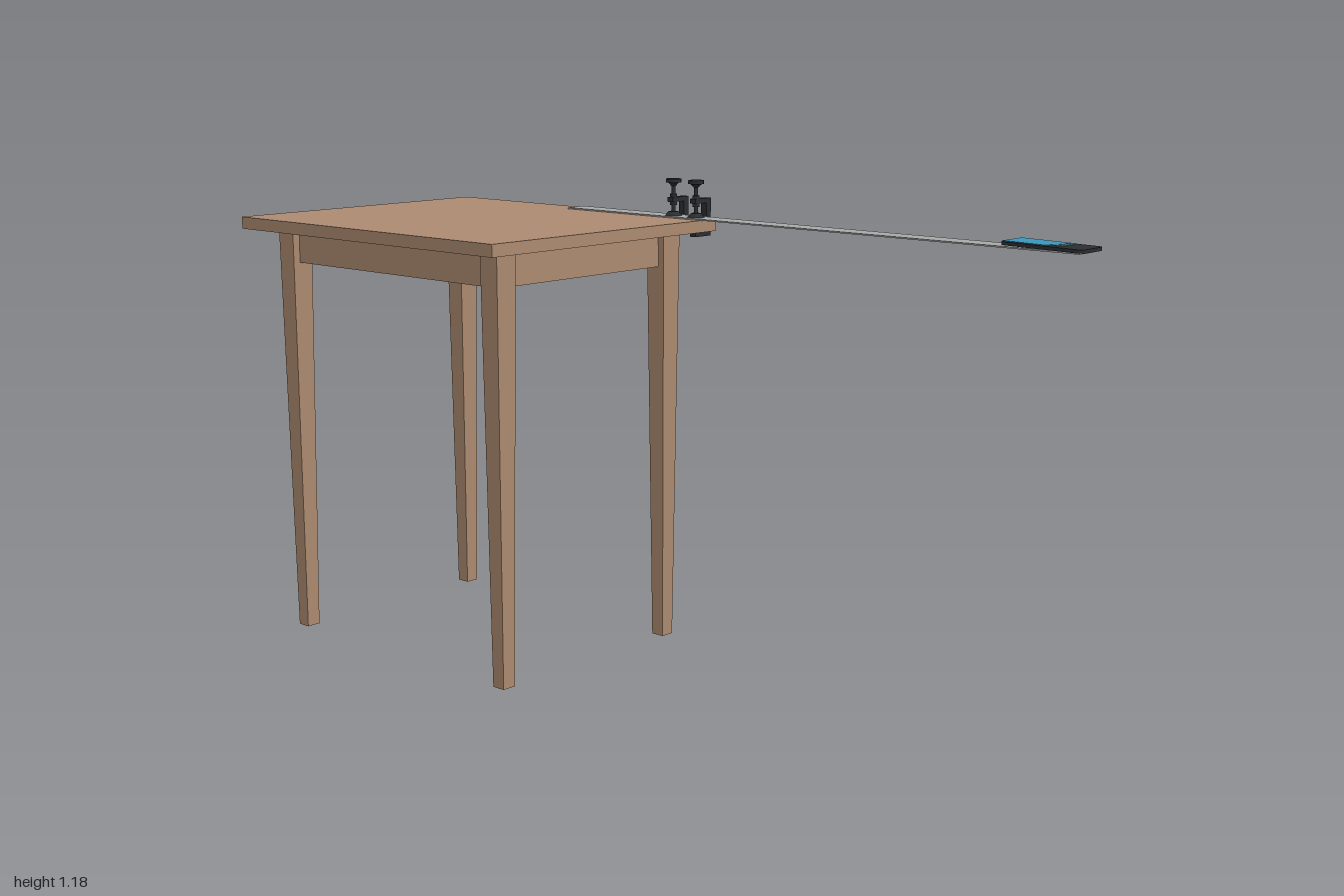
import * as THREE from 'three';

const mat = (name, color) => {
  const m = new THREE.MeshStandardMaterial({ color });
  m.name = name;
  return m;
};

export function createModel() {
  const wood = mat('wood', 0xac8a70);
  const steel = mat('steel', 0xa9a9a9);
  const black = mat('blackMetal', 0x2b2d30);
  const blue = mat('screenBlue', 0x3a96ba);
  const pale = mat('screenPale', 0xc4d0d4);

  const model = new THREE.Group();
  const add = (parent, name, geo, material, x = 0, y = 0, z = 0) => {
    const mesh = new THREE.Mesh(geo, material);
    mesh.name = name;
    mesh.position.set(x, y, z);
    parent.add(mesh);
    return mesh;
  };
  // Box from its minimum and maximum corners
  const box = (parent, name, material, [x0, x1], [y0, y1], [z0, z1]) =>
    add(parent, name, new THREE.BoxGeometry(x1 - x0, y1 - y0, z1 - z0), material,
      (x0 + x1) / 2, (y0 + y1) / 2, (z0 + z1) / 2);

  // Table
  const table = new THREE.Group();
  table.name = 'table';
  model.add(table);
  box(table, 'tableTop', wood, [-1, -0.08], [1.05, 1.08], [-0.375, 0.395]);

  // Tapered legs, with a corner brace inside each
  const cx = -0.54, cz = 0.01;
  for (const sx of [-1, 1]) for (const sz of [-1, 1]) {
    const geo = new THREE.BoxGeometry(0.056, 1.05, 0.06);
    const p = geo.attributes.position;
    for (let i = 0; i < p.count; i++) {
      if (p.getY(i) < 0) p.setXYZ(i, p.getX(i) * 0.64, p.getY(i), p.getZ(i) * 0.62);
    }
    geo.computeVertexNormals();
    add(table, 'leg', geo, wood, cx + sx * 0.373, 0.525, cz + sz * 0.285);

    const brace = new THREE.Group();
    brace.name = 'cornerBrace';
    brace.position.set(cx + sx * 0.315, 1.015, cz + sz * 0.227);
    table.add(brace);
    const plate = add(brace, 'bracePlate', new THREE.BoxGeometry(0.11, 0.055, 0.006), black);
    plate.rotation.y = sx * sz * Math.PI / 4;
    add(brace, 'braceFlangeX', new THREE.BoxGeometry(0.045, 0.055, 0.006), black, -sx * 0.06, 0, sz * 0.04);
    add(brace, 'braceFlangeZ', new THREE.BoxGeometry(0.006, 0.055, 0.045), black, sx * 0.04, 0, -sz * 0.06);
  }

  // Aprons between the legs
  for (const s of [-1, 1]) {
    add(table, 'longApron', new THREE.BoxGeometry(0.7, 0.085, 0.022), wood, cx, 1.0075, cz + s * 0.284);
    add(table, 'shortApron', new THREE.BoxGeometry(0.022, 0.085, 0.52), wood, cx + s * 0.372, 1.0075, cz);
  }

  // Thin steel strip overhanging the table
  box(model, 'steelStrip', steel, [-0.54, 0.985], [1.08, 1.0835], [-0.375, -0.315]);

  // Two screw clamps
  for (const x of [-0.195, -0.12]) {
    const clamp = new THREE.Group();
    clamp.name = 'clamp';
    clamp.position.x = x;
    model.add(clamp);
    const frame = new THREE.Shape([
      [0.392, 1.035], [0.392, 1.13], [0.333, 1.13], [0.333, 1.118],
      [0.376, 1.118], [0.376, 1.049], [0.333, 1.049], [0.333, 1.035],
    ].map(([u, v]) => new THREE.Vector2(u, v)));
    const geo = new THREE.ExtrudeGeometry(frame, { depth: 0.018, bevelEnabled: false });
    geo.translate(0, 0, -0.009);
    geo.rotateY(Math.PI / 2);
    add(clamp, 'clampFrame', geo, black);
    const rod = (name, r0, r1, y0, y1, n) =>
      add(clamp, name, new THREE.CylinderGeometry(r1, r0, y1 - y0, n), black, 0, (y0 + y1) / 2, -0.345);
    rod('screw', 0.005, 0.005, 1.085, 1.17, 12);
    rod('pad', 0.022, 0.012, 1.0835, 1.094, 16);
    rod('collar', 0.009, 0.009, 1.11, 1.138, 12);
    rod('knobNeck', 0.006, 0.014, 1.158, 1.167, 16);
    rod('knob', 0.02, 0.02, 1.167, 1.176, 10);
  }

  // Phone resting on the far end of the strip
  const phone = new THREE.Group();
  phone.name = 'phone';
  phone.position.set(0.895, 1.0875, -0.35);
  phone.rotation.z = -0.02;
  model.add(phone);
  const w = 0.103, d = 0.046, r = 0.014;
  const outline = new THREE.Shape();
  outline.absarc(w - r, d - r, r, 0, Math.PI / 2);
  outline.absarc(-w + r, d - r, r, Math.PI / 2, Math.PI);
  outline.absarc(-w + r, -d + r, r, Math.PI, Math.PI * 1.5);
  outline.absarc(w - r, -d + r, r, Math.PI * 1.5, Math.PI * 2);
  const body = new THREE.ExtrudeGeometry(outline, { depth: 0.008, bevelEnabled: false, curveSegments: 6 });
  body.rotateX(-Math.PI / 2);
  add(phone, 'phoneBody', body, black, 0, -0.002, 0);

  // Screen picture: blue field with a stepped edge and pale marks
  const screenY = [0.006, 0.0075];
  box(phone, 'screenField', blue, [-0.099, 0.012], screenY, [-0.04, 0.04]);
  box(phone, 'screenStep', blue, [0.012, 0.04], screenY, [-0.04, 0.022]);
  for (let i = 0; i < 4; i++) {
    const z = -0.03 + i * 0.014;
    box(phone, 'screenMark', pale, [0.022 + (i % 2) * 0.006, 0.036], [0.0075, 0.0085], [z, z + 0.006]);
  }
  return model;
}
